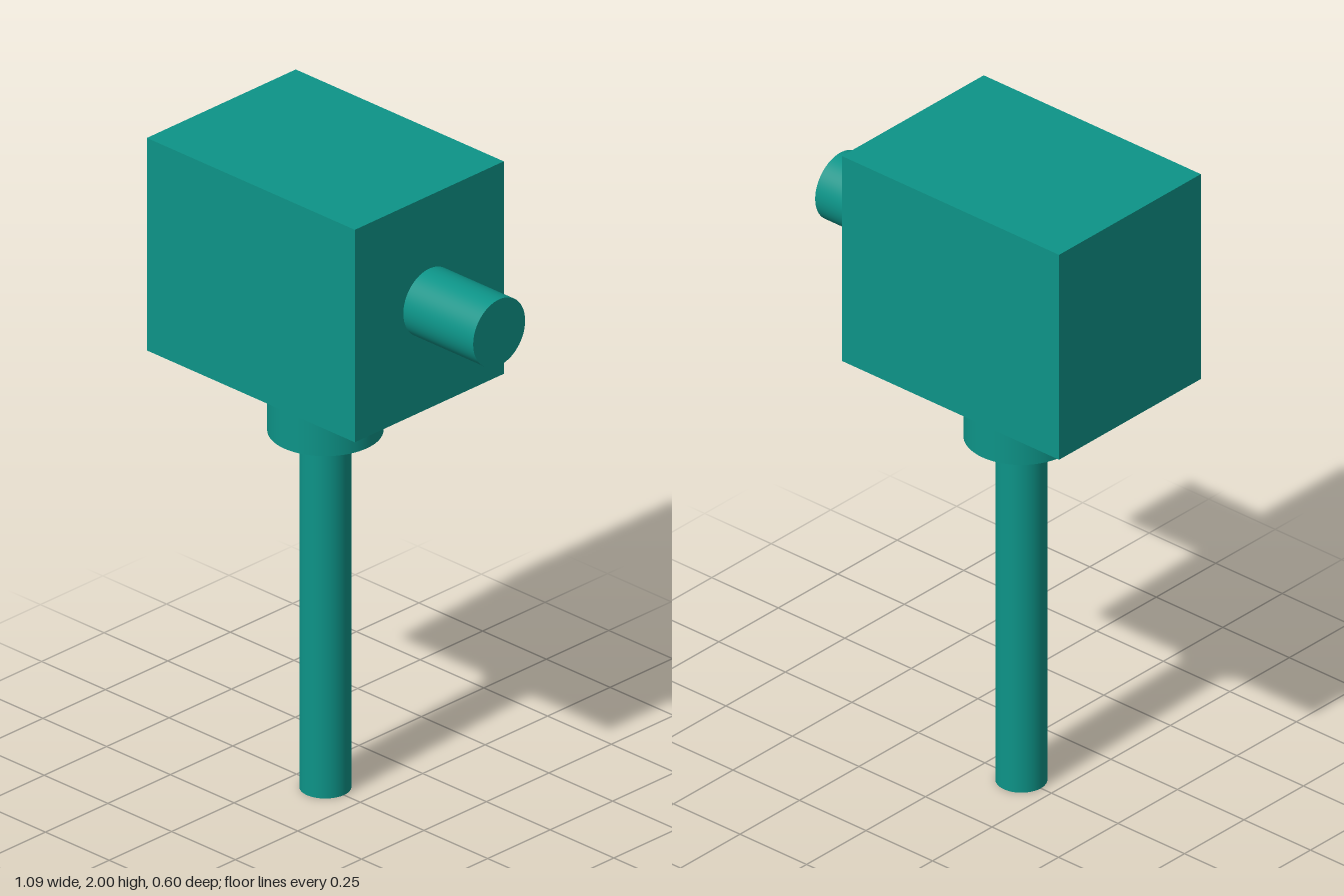
import * as THREE from 'three';

const teal = new THREE.MeshStandardMaterial({ color: 0x0d9488 });
teal.name = 'teal';

export function createModel() {
  const model = new THREE.Group();
  model.name = 'probeSensor';
  const axisX = -0.137; // shared by housing, collar and stem

  const add = (name, geometry, x, y) => {
    const mesh = new THREE.Mesh(geometry, teal);
    mesh.name = name;
    mesh.position.set(x, y, 0);
    model.add(mesh);
    return mesh;
  };
  const rod = (radius, length) => new THREE.CylinderGeometry(radius, radius, length, 64);

  // Box housing at the top
  add('housing', new THREE.BoxGeometry(0.816, 0.667, 0.596), axisX, 1.6665);

  // Collar and long stem below it
  add('collar', rod(0.163, 0.213), axisX, 1.2265);
  add('stem', rod(0.073, 1.12), axisX, 0.56);

  // Cable connector on the left side
  add('connector', rod(0.104, 0.274), 0.408, 1.667).rotation.z = -Math.PI / 2;

  return model;
}
